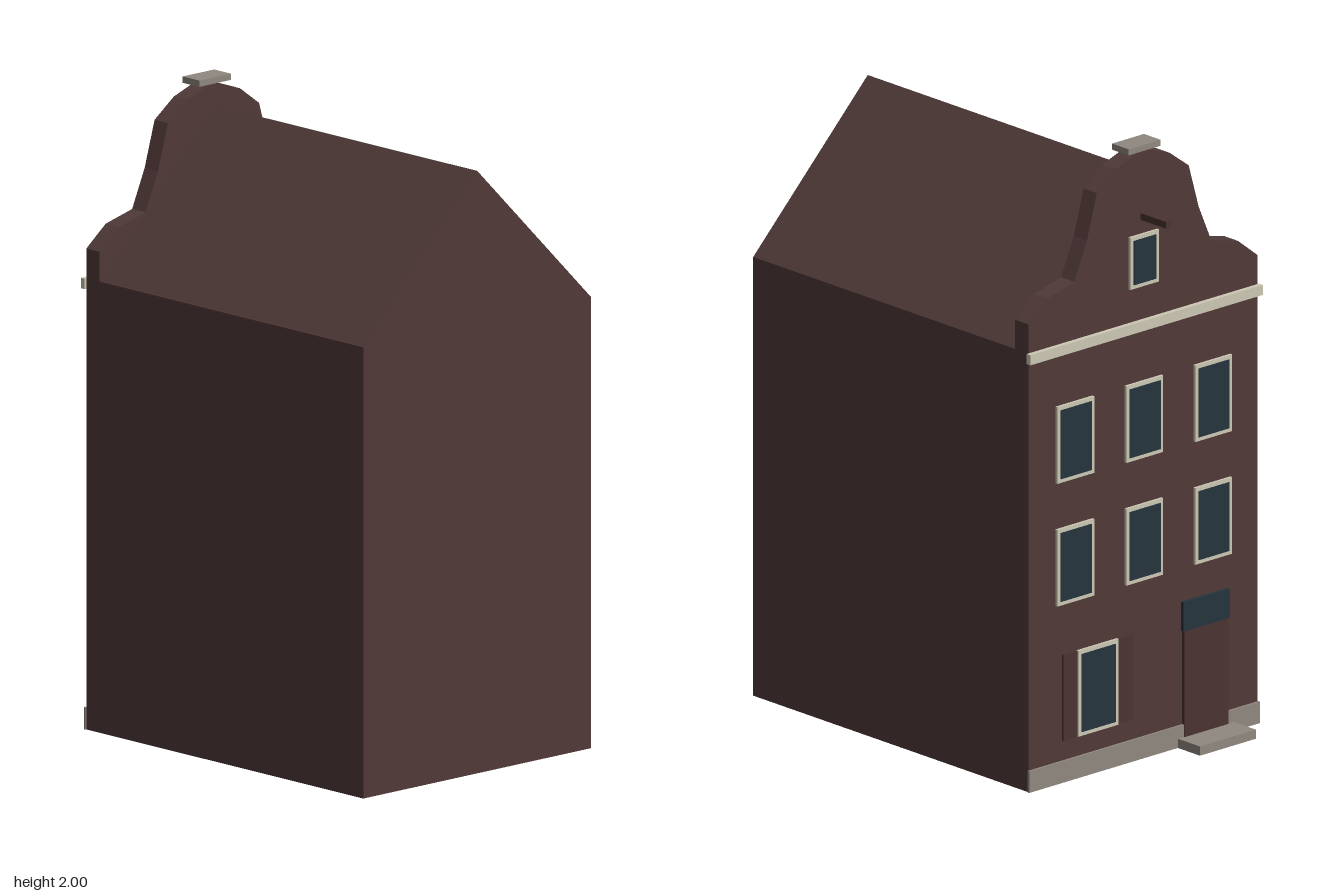
import * as THREE from 'three';

const mat = (name, color, extra = {}) => {
  const m = new THREE.MeshStandardMaterial({ color, ...extra });
  m.name = name;
  return m;
};

export function createModel() {
  const house = new THREE.Group();
  house.name = 'gabledTownhouse';

  const brick = mat('brick', 0x503a38);
  const timber = mat('darkTimber', 0x4a3331);
  const stone = mat('greyStone', 0x8f8880);
  const cream = mat('creamTrim', 0xcdc8b4);
  const glass = mat('darkGlass', 0x26343c);

  const FRONT = -0.565; // street facade plane, facing -x

  // Box given by its limits on each axis
  function box(name, material, x0, x1, y0, y1, z0, z1, parent = house) {
    const mesh = new THREE.Mesh(new THREE.BoxGeometry(x1 - x0, y1 - y0, z1 - z0), material);
    mesh.position.set((x0 + x1) / 2, (y0 + y1) / 2, (z0 + z1) / 2);
    mesh.name = name;
    parent.add(mesh);
    return mesh;
  }

  // Extrudes a (z, y) outline along x
  function slab(name, material, points, x0, x1) {
    const shape = new THREE.Shape(points.map(([z, y]) => new THREE.Vector2(z, y)));
    const geo = new THREE.ExtrudeGeometry(shape, { depth: x1 - x0, bevelEnabled: false });
    geo.rotateY(-Math.PI / 2).translate(x1, 0, 0);
    const mesh = new THREE.Mesh(geo, material);
    mesh.name = name;
    house.add(mesh);
  }

  // Walls and pitched roof
  box('walls', brick, FRONT, 0.68, 0, 1.43, -0.482, 0.482);
  slab('roof', brick, [[-0.482, 1.43], [0.482, 1.43], [0, 1.91]], -0.505, 0.68);

  // Bell-shaped gable, mirrored about its centre
  const half = [[0.482, 1.43], [0.482, 1.525], [0.4, 1.59], [0.288, 1.618],
    [0.235, 1.74], [0.193, 1.885], [0.112, 1.945]];
  const mirrored = half.map(([z, y]) => [-z, y]).reverse();
  slab('bellGable', brick, [...half, [0, 1.985], ...mirrored], FRONT, -0.505);
  box('gableCap', stone, -0.573, -0.498, 1.98, 2, -0.067, 0.067);

  // Hoisting beam
  box('hoistBeam', timber, -0.68, -0.55, 1.755, 1.777, -0.01, 0.01);

  // Cornice, plinth and doorstep
  box('cornice', cream, -0.582, FRONT, 1.397, 1.43, -0.489, 0.489);
  box('plinth', stone, -0.573, FRONT, 0, 0.07, -0.485, 0.485);
  box('doorstep', stone, -0.673, FRONT, 0, 0.03, 0.14, 0.375);

  // Window: cream frame plate with a slightly proud pane
  function addWindow(name, z, y0, y1, width) {
    const g = new THREE.Group();
    g.name = name;
    house.add(g);
    const w = width / 2, rim = 0.013;
    box('frame', cream, FRONT - 0.009, FRONT, y0, y1, z - w, z + w, g);
    box('pane', glass, FRONT - 0.012, FRONT - 0.004, y0 + rim, y1 - rim, z - w + rim, z + w - rim, g);
  }
  for (const [row, y] of [['first', 0.58], ['second', 0.98]]) {
    for (const z of [-0.29, 0, 0.29]) addWindow(row + 'FloorWindow', z, y, y + 0.25, 0.155);
  }
  addWindow('atticWindow', 0, 1.54, 1.71, 0.12);
  addWindow('groundWindow', -0.195, 0.135, 0.415, 0.17);

  // Shutters beside the ground window
  for (const side of [-1, 1]) {
    const z = -0.195 + side * 0.115;
    box('shutter', timber, FRONT - 0.006, FRONT, 0.135, 0.415, z - 0.03, z + 0.03);
  }

  // Door with transom light
  box('door', timber, FRONT - 0.011, FRONT, 0.03, 0.375, 0.165, 0.35);
  box('transomLight', glass, FRONT - 0.012, FRONT, 0.375, 0.47, 0.16, 0.355);

  return house;
}
